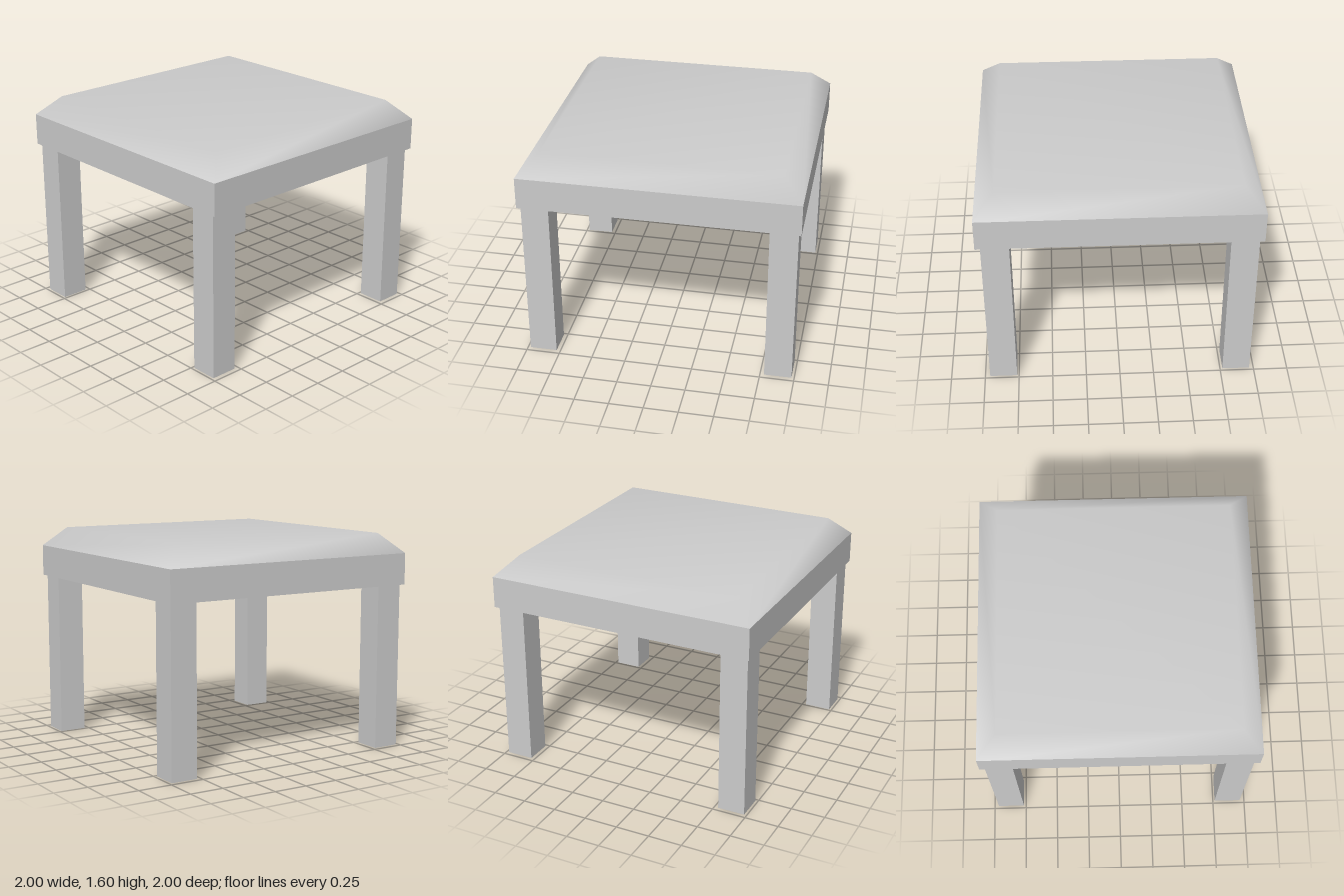
import * as THREE from 'three';

const material = new THREE.MeshStandardMaterial({ color: 0xcccccc });

function box(name, w, h, d, x, y, z) {
  const mesh = new THREE.Mesh(new THREE.BoxGeometry(w, h, d), material);
  mesh.name = name;
  mesh.position.set(x, y, z);
  return mesh;
}

// Square frustum with shared vertices, so the bevel shades softly into the top
function bevelledTop(y0, half0, y1, half1) {
  const corners = [[1, 1], [1, -1], [-1, -1], [-1, 1]];
  const positions = [];
  for (const [y, half] of [[y0, half0], [y1, half1]]) {
    for (const [sx, sz] of corners) positions.push(sx * half, y, sz * half);
  }
  const index = [];
  for (let i = 0; i < 4; i++) {
    const j = (i + 1) % 4;
    index.push(i, j, j + 4, i, j + 4, i + 4);
  }
  index.push(4, 5, 6, 4, 6, 7);
  const geometry = new THREE.BufferGeometry();
  geometry.setAttribute('position', new THREE.Float32BufferAttribute(positions, 3));
  geometry.setIndex(index);
  geometry.computeVertexNormals();
  return geometry;
}

export function createModel() {
  const table = new THREE.Group();
  table.name = 'table';

  const underside = 1.222, rim = 1.455, height = 1.6;

  // Slab with sharp vertical sides
  table.add(box('slab', 2, rim - underside, 2, 0, (underside + rim) / 2, 0));

  // Sloped border and flat surface
  const top = new THREE.Mesh(bevelledTop(rim, 1, height, 0.855), material);
  top.name = 'bevelledTop';
  table.add(top);

  // Four square legs
  for (const [side, x] of [['Left', 0.864], ['Right', -0.868]]) {
    for (const [end, z] of [['front', 0.88], ['back', -0.88]]) {
      table.add(box(`${end}${side}Leg`, 0.2, underside, 0.2, x, underside / 2, z));
    }
  }
  return table;
}
